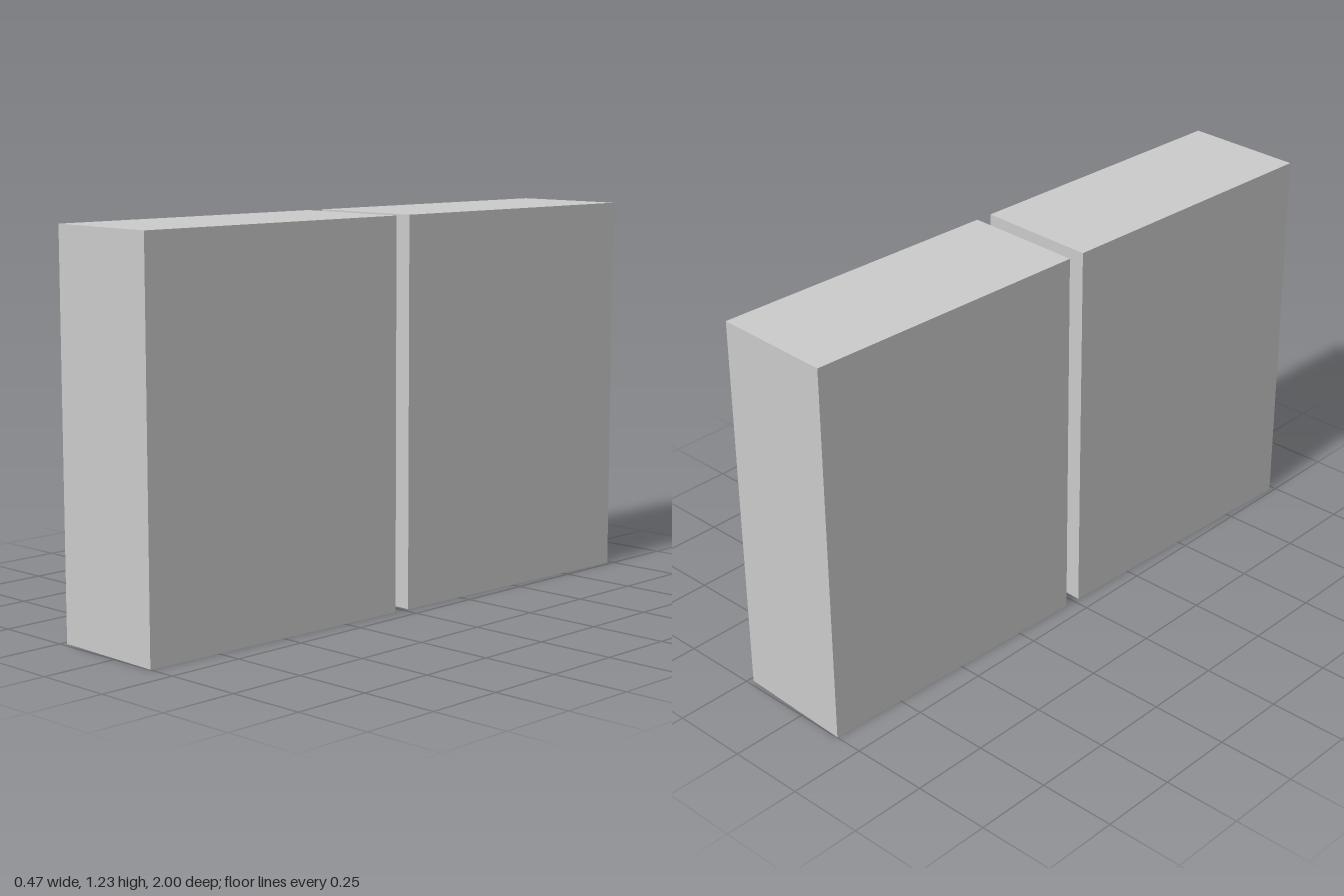
import * as THREE from 'three';

// Two identical upright slabs set end to end with a narrow gap, turned slightly about y.
export function createModel() {
  const group = new THREE.Group();
  group.name = 'slabPair';
  const material = new THREE.MeshStandardMaterial({ color: 0xcccccc, flatShading: true });

  const width = 0.393, height = 1.23, length = 0.965, gap = 0.055;
  const geometry = new THREE.BoxGeometry(width, height, length);

  const row = new THREE.Group();
  row.name = 'slabRow';
  row.rotation.y = -0.04;
  for (const [name, side] of [['frontSlab', 1], ['backSlab', -1]]) {
    const slab = new THREE.Mesh(geometry, material);
    slab.name = name;
    slab.position.set(0, height / 2, side * (length + gap) / 2);
    row.add(slab);
  }
  group.add(row);
  return group;
}
